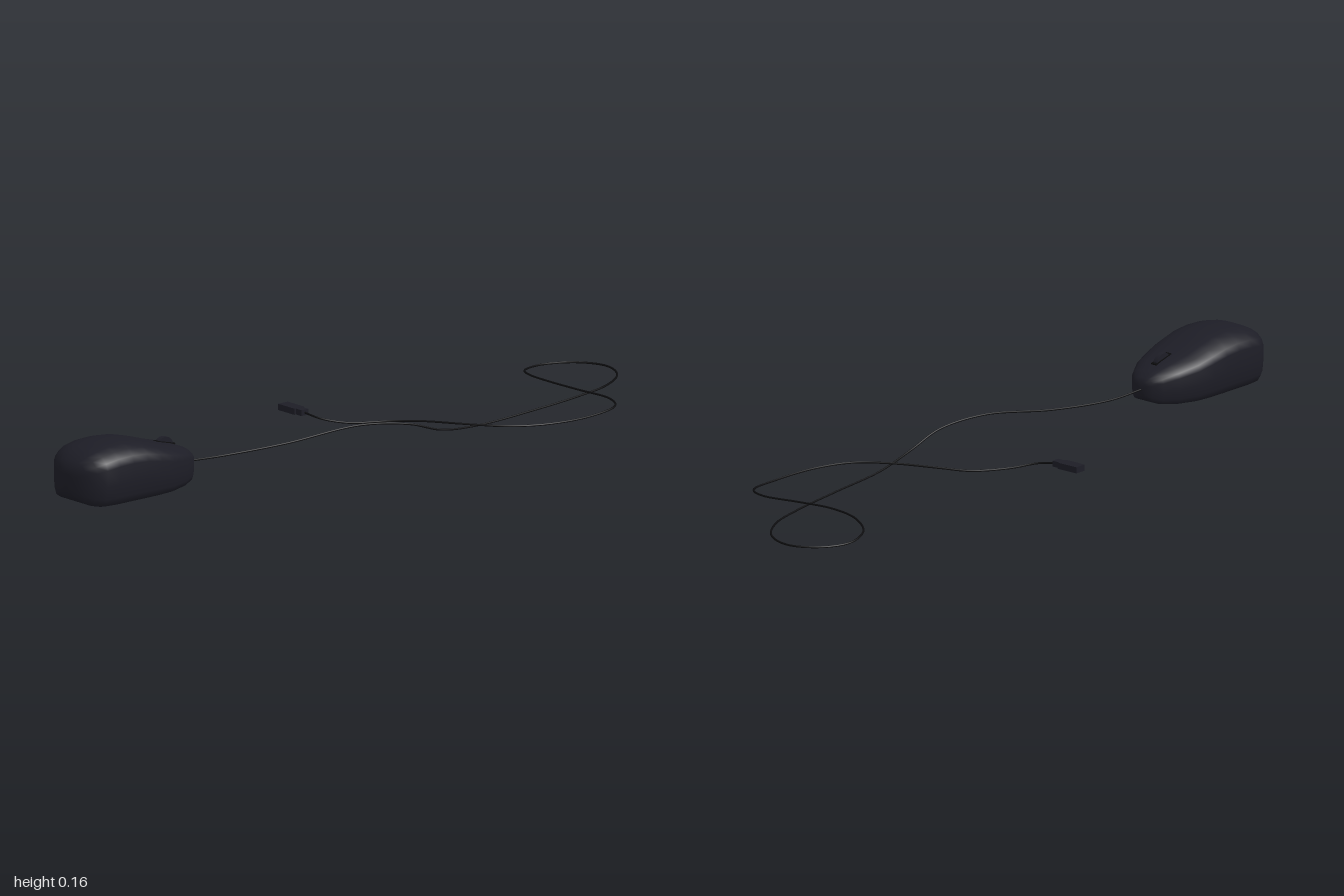
import * as THREE from 'three';

const material = (name, color) => {
  const m = new THREE.MeshStandardMaterial({ color });
  m.name = name;
  return m;
};

// Lofts one cross-section along z and closes both ends; rows are [z, halfWidth, bottom, top]
function loft(rows, half) {
  const ring = [...half, ...half.slice(1, -1).reverse().map(([u, v]) => [-u, v])];
  const n = ring.length, pos = [], index = [];
  const tip = ([z, , b, t]) => [z, 0, (b + t) / 2, (b + t) / 2];
  const all = [tip(rows[0]), ...rows, tip(rows[rows.length - 1])];
  all.forEach(([z, w, b, t]) => ring.forEach(([u, v]) => pos.push(u * w, b + v * (t - b), z)));
  for (let i = 0; i < all.length - 1; i++) {
    for (let j = 0; j < n; j++) {
      const a = i * n + j, b = i * n + (j + 1) % n;
      index.push(a, b, b + n, a, b + n, a + n);
    }
  }
  const g = new THREE.BufferGeometry();
  g.setAttribute('position', new THREE.Float32BufferAttribute(pos, 3));
  g.setIndex(index);
  g.computeVertexNormals();
  return g;
}

export function createModel() {
  const model = new THREE.Group();
  const shellMat = material('charcoal plastic', 0x1d1d26);
  const blackMat = material('black rubber', 0x0c0c0e);
  const add = (name, geometry, mat, x = 0, y = 0, z = 0, parent = model) => {
    const mesh = new THREE.Mesh(geometry, mat);
    mesh.name = name;
    mesh.position.set(x, y, z);
    parent.add(mesh);
    return mesh;
  };

  // Domed mouse shell
  const mouse = new THREE.Group();
  mouse.name = 'mouse';
  mouse.position.x = 0.021;
  model.add(mouse);
  const section = [[0, 0], [0.7, 0], [0.87, 0.03], [0.96, 0.16], [1, 0.4], [1, 0.7],
    [0.93, 0.82], [0.76, 0.92], [0.5, 0.975], [0.25, 0.995], [0, 1]];
  const rows = [
    [0.572, 0.018, 0.028, 0.068], [0.58, 0.035, 0.018, 0.08], [0.6, 0.056, 0.009, 0.094],
    [0.64, 0.079, 0.003, 0.11], [0.7, 0.098, 0, 0.126], [0.75, 0.105, 0, 0.142],
    [0.8, 0.107, 0, 0.155], [0.85, 0.107, 0, 0.16], [0.9, 0.107, 0, 0.158],
    [0.94, 0.103, 0.001, 0.15], [0.965, 0.089, 0.006, 0.139], [0.985, 0.064, 0.016, 0.124],
    [0.996, 0.037, 0.03, 0.107], [1, 0.015, 0.047, 0.09]];
  add('shell', loft(rows, section), shellMat, 0, 0, 0, mouse);

  // Scroll wheel in its slot
  const slot = add('wheelSlot', new THREE.BoxGeometry(0.018, 0.004, 0.064), blackMat, 0, 0.114, 0.655, mouse);
  slot.rotation.x = -0.25;
  const wheel = new THREE.CylinderGeometry(0.03, 0.03, 0.013, 28).rotateZ(Math.PI / 2);
  add('scrollWheel', wheel, shellMat, 0, 0.1, 0.658, mouse);

  // Looping cable
  const path = [
    [0.021, 0.048, 0.585], [0.03, 0.043, 0.455], [0.07, 0.052, 0.27], [0.125, 0.076, 0.06],
    [0.16, 0.062, -0.08], [0.165, 0.028, -0.19], [0.142, 0.009, -0.34], [0.115, 0.006, -0.55],
    [0.085, 0.006, -0.735], [0.048, 0.006, -0.87], [-0.02, 0.006, -0.965], [-0.105, 0.006, -0.997],
    [-0.18, 0.006, -0.96], [-0.218, 0.007, -0.88], [-0.19, 0.014, -0.79], [-0.115, 0.024, -0.74],
    [-0.02, 0.028, -0.726], [0.085, 0.026, -0.735], [0.2, 0.023, -0.748], [0.262, 0.02, -0.715],
    [0.285, 0.015, -0.6], [0.272, 0.017, -0.455], [0.225, 0.02, -0.36], [0.14, 0.02, -0.295],
    [0.03, 0.016, -0.235], [-0.04, 0.01, -0.185], [-0.1, 0.009, -0.095], [-0.15, 0.02, -0.04],
    [-0.205, 0.029, -0.027]].map(p => new THREE.Vector3(...p));
  const curve = new THREE.CatmullRomCurve3(path);
  add('cable', new THREE.TubeGeometry(curve, 260, 0.0028, 8), blackMat);

  // Plug with a narrower strain relief
  add('plug', new THREE.BoxGeometry(0.066, 0.017, 0.034), shellMat, -0.256, 0.029, -0.027);
  add('plugNeck', new THREE.BoxGeometry(0.024, 0.016, 0.024), shellMat, -0.212, 0.029, -0.027);
  return model;
}
